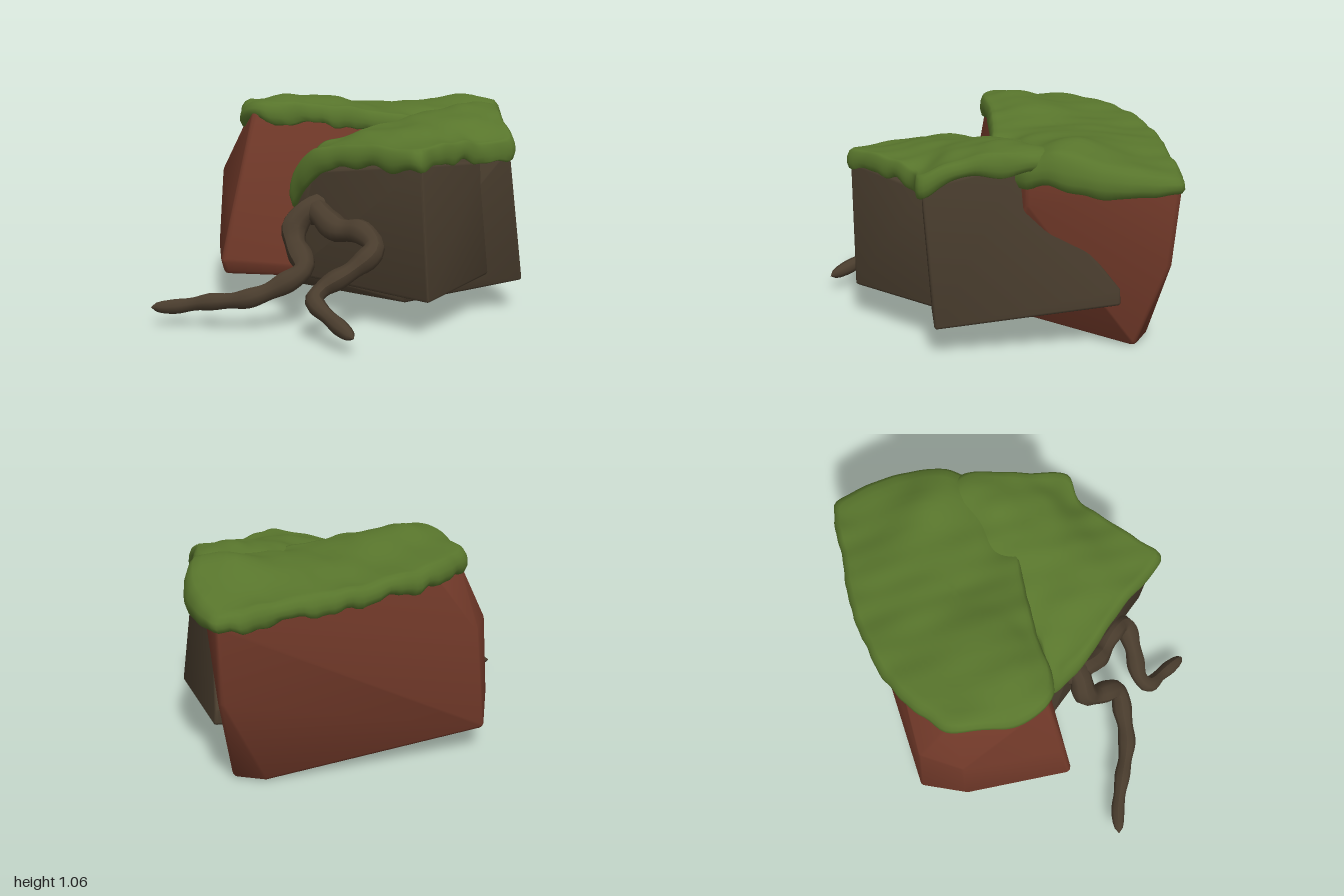
import * as THREE from 'three';
import { toCreasedNormals, mergeVertices } from 'three/addons/utils/BufferGeometryUtils.js';
import { ConvexGeometry } from 'three/addons/geometries/ConvexGeometry.js';

const mat = (name, color, side = THREE.FrontSide) => {
  const m = new THREE.MeshStandardMaterial({ color, side });
  m.name = name;
  return m;
};
const V = (a) => new THREE.Vector3(...a);
const wobble = (x, z) =>
  Math.sin(x * 19 + z * 5) * 0.4 + Math.sin(z * 21 - x * 6 + 1.3) * 0.4 + Math.sin(x * 33 - z * 29 + 0.6) * 0.25;

// Rock: hull of the corner points, each softened by a tiny ball
function rock(name, corners, material, r) {
  const ball = new THREE.IcosahedronGeometry(r, 1).attributes.position;
  const pts = corners.map(V);
  const mid = pts.reduce((s, p) => s.add(p), new THREE.Vector3()).divideScalar(pts.length);
  const cloud = [];
  for (const p of pts) {
    const c = p.clone().add(mid.clone().sub(p).setLength(r * 1.2));
    for (let i = 0; i < ball.count; i++) cloud.push(new THREE.Vector3().fromBufferAttribute(ball, i).add(c));
  }
  const mesh = new THREE.Mesh(toCreasedNormals(new ConvexGeometry(cloud), 0.65), material);
  mesh.name = name;
  return mesh;
}

// Moss: uneven blanket inside an outline of [x, top y, z] points, with a rounded hanging rim
function moss(name, outline, bumps, center, depthAt, material) {
  const known = [...outline, ...bumps];
  const height = (x, z) => {
    let sum = 0, total = 0;
    for (const [kx, ky, kz] of known) {
      const w = 1 / (Math.pow((x - kx) ** 2 + (z - kz) ** 2, 1.4) + 0.0008);
      sum += w * ky;
      total += w;
    }
    return sum / total;
  };
  const N = 140;
  const curve = new THREE.CatmullRomCurve3(outline.map(V), true);
  const edge = curve.getSpacedPoints(N).slice(0, N);
  // [fraction of the way out, drop as a share of the depth]
  const rows = [];
  for (let i = 0; i <= 16; i++) rows.push([0.94 * i / 16, 0]);
  rows.push([0.975, 0.12], [1, 0.38], [1.005, 0.65], [0.985, 0.92], [0.95, 1], [0.86, 0.8]);
  const pos = [], index = [];
  rows.forEach(([t, drop], i) => {
    edge.forEach((p, j) => {
      const rough = wobble(p.x * 1.3, p.z * 1.3);
      const k = t * (1 + 0.014 * rough * t);
      const x = center[0] + (p.x - center[0]) * k;
      const z = center[1] + (p.z - center[1]) * k;
      const y = height(x, z) + 0.008 * wobble(x, z) - drop * depthAt(p.x) * (1 + 0.2 * rough);
      pos.push(x, y, z);
      if (i < rows.length - 1) {
        const a = i * N + j, b = i * N + (j + 1) % N;
        if (i > 0) index.push(a, b + N, b);
        index.push(a, a + N, b + N);
      }
    });
  });
  let geo = new THREE.BufferGeometry();
  geo.setAttribute('position', new THREE.Float32BufferAttribute(pos, 3));
  geo.setIndex(index);
  geo = mergeVertices(geo, 1e-5);
  geo.computeVertexNormals();
  const mesh = new THREE.Mesh(geo, material);
  mesh.name = name;
  return mesh;
}

// Root: tube whose rings shrink towards the tip and swell a little at knots
function root(name, path, r0, r1, material) {
  const curve = new THREE.CatmullRomCurve3(path.map(V), false, 'centripetal');
  const seg = 48, sides = 9;
  const geo = new THREE.TubeGeometry(curve, seg, 1, sides);
  const pos = geo.attributes.position;
  const v = new THREE.Vector3();
  for (let i = 0; i <= seg; i++) {
    const t = i / seg, c = curve.getPointAt(t);
    const tip = i === seg ? 0.01 : i === seg - 1 ? 0.8 : 1;
    const r = (r0 + (r1 - r0) * t) * (1 + 0.1 * Math.sin(i * 0.9)) * tip;
    for (let j = 0; j <= sides; j++) {
      const k = i * (sides + 1) + j;
      v.fromBufferAttribute(pos, k).sub(c).multiplyScalar(r).add(c);
      pos.setXYZ(k, v.x, v.y, v.z);
    }
  }
  geo.computeVertexNormals();
  const mesh = new THREE.Mesh(geo, material);
  mesh.name = name;
  return mesh;
}

export function createModel() {
  const group = new THREE.Group();
  group.name = 'mossyRocks';
  const redStone = mat('red stone', 0x713929);
  const brownStone = mat('brown stone', 0x483c2d);
  const bark = mat('bark', 0x493c2d);
  const green = mat('moss green', 0x58752c, THREE.DoubleSide);

  // Large red boulder, its underside rising towards the front
  group.add(rock('redBoulder', [
    [0.08, 0, -0.77], [0.22, 0, -0.78], [0.36, 0.1, 0], [-0.49, 0.19, 0.61], [-0.77, 0.14, 0.2], [-0.84, 0.11, -0.06],
    [-0.49, 0.24, 0.63], [-0.8, 0.2, 0.18], [-0.8, 0.62, -0.06], [-0.78, 0.62, 0.16], [0.21, 0.43, -0.94], [-0.46, 0.5, 0.57],
    [-0.66, 0.93, 0.06], [-0.62, 0.91, -0.2], [-0.41, 0.97, 0.44], [0.14, 0.9, 0.04], [0.55, 0.88, -0.37], [0.55, 0.73, -0.37],
    [0.2, 0.81, -0.97],
  ], redStone, 0.028));

  // Brown boulder on the side
  group.add(rock('sideBoulder', [
    [0.79, 0.81, 0.05], [0.84, 0.15, -0.04], [0.325, 0.24, -0.745], [0.32, 0.3, -0.74], [0.51, 0.73, -0.36], [0.53, 0.91, -0.3],
    [0.36, 0.06, 0.32], [0.35, 0.17, 0.35], [-0.25, 0.1, 0.34], [-0.25, 0.16, 0.37], [-0.44, 0.11, -0.04], [0.35, 0.8, 0.32],
    [0.2, 0.06, 0.15], [0.1, 0.8, 0.1],
  ], brownStone, 0.015));

  // Brown boulder at the front
  group.add(rock('frontBoulder', [
    [-0.22, 0.53, 0.38], [-0.08, 0.7, 0.44], [0.58, 0.8, 0.63], [0.67, 0.75, 0.13], [0.1, 0.78, 0.15],
    [-0.21, 0.17, 0.42], [0.61, 0.17, 0.61], [0.7, 0.19, 0.07], [0.3, 0.14, 0.3], [-0.15, 0.13, 0.3],
  ], brownStone, 0.015));

  // Moss over the red boulder, its inner edge sinking under the lower moss
  group.add(moss('upperMoss', [
    [-0.69, 0.99, 0.07], [-0.6, 0.98, 0.25], [-0.42, 1.02, 0.44], [-0.3, 1.02, 0.42], [-0.08, 0.99, 0.24],
    [0.17, 0.95, 0.07], [0.4, 0.87, -0.08], [0.57, 0.93, -0.38], [0.53, 0.95, -0.58], [0.46, 0.93, -0.73], [0.38, 0.9, -0.84],
    [0.28, 0.88, -0.93], [0.2, 0.86, -0.99], [0.12, 0.87, -0.95], [0, 0.89, -0.86], [-0.2, 0.92, -0.72],
    [-0.35, 0.94, -0.6], [-0.53, 0.96, -0.4], [-0.63, 0.98, -0.22],
  ], [[-0.35, 1.05, 0.25], [-0.2, 1.04, 0.12], [0.35, 1.03, -0.48], [0.46, 1.02, -0.52], [0.1, 0.98, -0.4], [0.25, 0.97, -0.25]],
  [-0.05, -0.2], (x) => 0.1 + 0.06 * THREE.MathUtils.smoothstep(x, 0.2, 0.5), green));

  // Moss over the brown boulders, hanging deeper towards the left end and running up into the upper moss
  group.add(moss('lowerMoss', [
    [-0.22, 0.64, 0.4], [-0.14, 0.78, 0.47], [-0.02, 0.84, 0.52], [0.2, 0.86, 0.56], [0.4, 0.87, 0.62], [0.57, 0.87, 0.66],
    [0.61, 0.87, 0.52], [0.655, 0.87, 0.33], [0.71, 0.82, 0.16], [0.81, 0.86, 0.06], [0.75, 0.92, -0.06], [0.64, 0.98, -0.25],
    [0.56, 0.97, -0.42], [0.45, 0.96, -0.46], [0.28, 0.92, -0.32], [0.1, 0.9, -0.03], [-0.08, 0.84, 0.25],
  ], [[0.4, 0.93, 0.25], [0.55, 0.97, 0], [0.48, 1.0, -0.2], [0.32, 0.97, -0.05], [0.47, 1.01, -0.33], [0.2, 0.91, 0.3]],
  [0.38, 0.2], (x) => 0.1 + 0.25 * Math.max(0, 0.1 - x), green));

  // Two bent roots growing out of the front
  group.add(root('leftRoot', [
    [0, 0.52, 0.4], [-0.07, 0.52, 0.5], [-0.12, 0.44, 0.55], [-0.09, 0.37, 0.6], [0.01, 0.28, 0.7], [-0.07, 0.21, 0.77],
    [-0.2, 0.15, 0.85], [-0.4, 0.12, 0.9], [-0.55, 0.09, 0.94], [-0.66, 0.085, 0.99],
  ], 0.066, 0.029, bark));
  group.add(root('rightRoot', [
    [-0.08, 0.5, 0.42], [-0.01, 0.51, 0.5], [0.1, 0.45, 0.54], [0.25, 0.45, 0.56], [0.33, 0.39, 0.6], [0.26, 0.3, 0.69],
    [0.15, 0.22, 0.78], [0.14, 0.18, 0.84], [0.25, 0.12, 0.89], [0.4, 0.07, 0.96],
  ], 0.068, 0.032, bark));

  return group;
}
